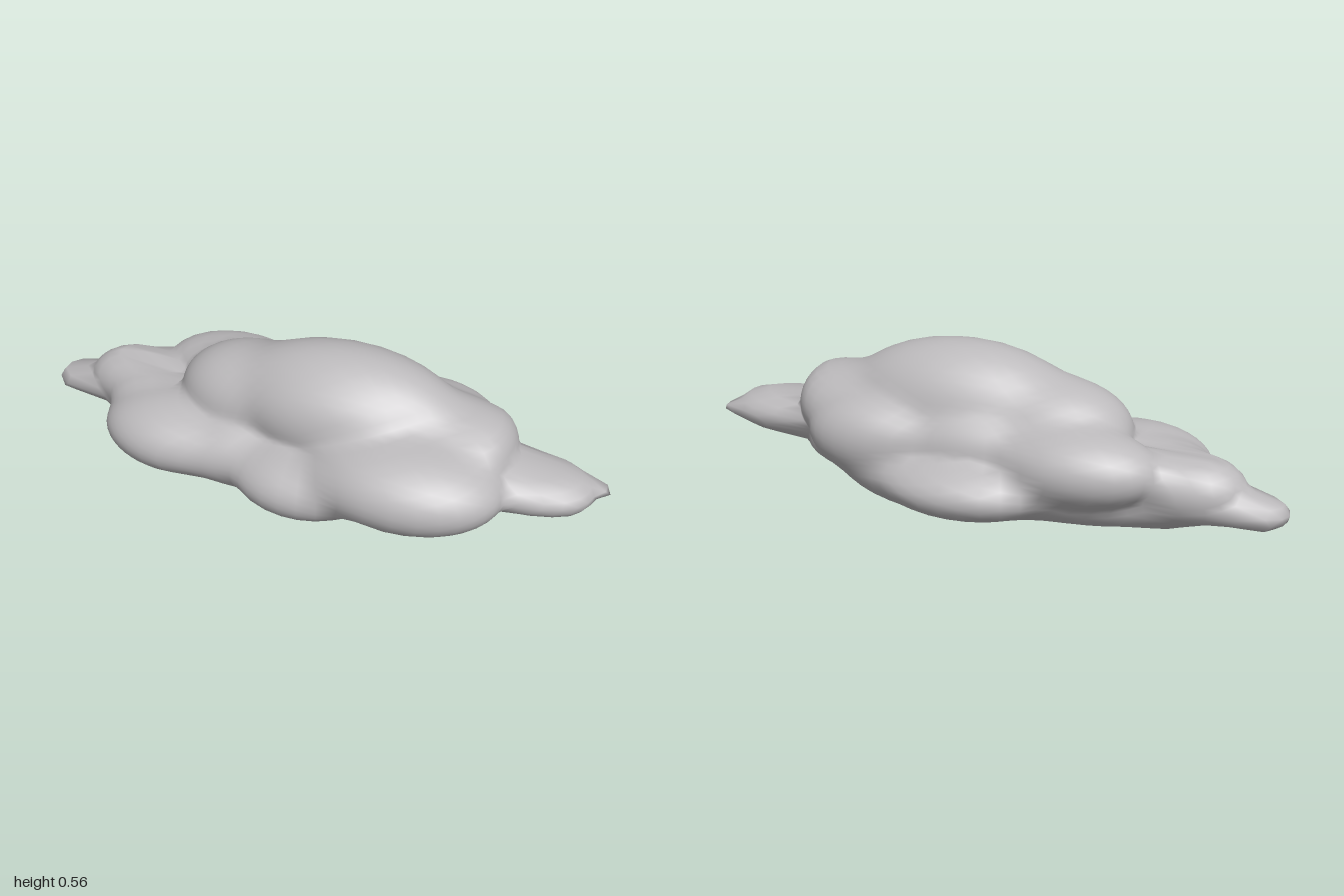
import * as THREE from 'three';
import { mergeVertices } from 'three/addons/utils/BufferGeometryUtils.js';

// Puffs of the cloud: centre x, y, z and radii x, y, z
const dome = [
  [0.11, 0.335, -0.01, 0.41, 0.228, 0.21], // top
  [0.10, 0.35, 0.10, 0.27, 0.145, 0.115], // front
  [-0.22, 0.30, -0.04, 0.26, 0.17, 0.19], // right shoulder
  [0.47, 0.28, 0.00, 0.21, 0.16, 0.19], // left shoulder
  [0.58, 0.30, 0.02, 0.11, 0.125, 0.17], // left shoulder, outer
];
const back = [
  [-0.34, 0.24, -0.20, 0.27, 0.13, 0.16], // right
  [0.03, 0.14, -0.24, 0.28, 0.10, 0.165], // low
  [0.02, 0.25, -0.15, 0.30, 0.13, 0.13], // middle
  [0.36, 0.25, -0.16, 0.24, 0.14, 0.13], // left
];
const front = [
  [0.37, 0.25, 0.185, 0.33, 0.15, 0.217], // left lobe
  [0.03, 0.17, 0.18, 0.25, 0.12, 0.185], // middle
  [-0.45, 0.17, 0.08, 0.27, 0.13, 0.19], // right lobe
  [-0.22, 0.17, 0.10, 0.24, 0.13, 0.16], // right inner lobe
];
const ends = [
  [-0.68, 0.18, -0.12, 0.19, 0.12, 0.13], // right wing
  [-0.58, 0.19, -0.02, 0.17, 0.10, 0.12], // right wing root
  [-0.88, 0.13, -0.13, 0.125, 0.06, 0.09], // right tip
  [0.74, 0.225, 0.04, 0.22, 0.08, 0.14], // left tail
  [0.85, 0.225, 0.05, 0.09, 0.065, 0.09], // left tail, outer
  [0.92, 0.22, 0.00, 0.085, 0.03, 0.04], // left point
];
const belly = [
  [-0.57, 0.10, -0.05, 0.18, 0.085, 0.15], // right end
  [-0.32, 0.12, -0.05, 0.40, 0.115, 0.22], // right
  [0.06, 0.13, -0.11, 0.44, 0.13, 0.22], // middle
  [0.43, 0.16, 0.02, 0.25, 0.09, 0.20], // left
];
const puffs = [...dome, ...back, ...front, ...ends, ...belly];

// Soft union of the puffs: above 1 inside, below 1 outside
function field(p) {
  let sum = 0;
  for (const [x, y, z, a, b, c] of puffs) {
    const q = ((p.x - x) / a) ** 2 + ((p.y - y) / b) ** 2 + ((p.z - z) / c) ** 2;
    sum += Math.exp(6 * (1 - q));
  }
  return sum / 1.25;
}

function cloudGeometry() {
  let geo = new THREE.IcosahedronGeometry(1, 13);
  geo.deleteAttribute('normal');
  geo.deleteAttribute('uv');
  geo = mergeVertices(geo, 1e-4);

  // Pull each vertex inwards along its ray until it meets the outer surface
  const centre = new THREE.Vector3(0, 0.21, 0);
  const stretch = new THREE.Vector3(1, 0.32, 0.42);
  const pos = geo.attributes.position;
  const dir = new THREE.Vector3(), p = new THREE.Vector3();
  const at = (t) => p.copy(dir).multiplyScalar(t).add(centre);
  for (let i = 0; i < pos.count; i++) {
    dir.fromBufferAttribute(pos, i).multiply(stretch);
    let outer = 1.6;
    while (outer > 0.05 && field(at(outer)) < 1) outer -= 0.02;
    let inner = outer;
    outer += 0.02;
    for (let k = 0; k < 10; k++) {
      const mid = (inner + outer) / 2;
      if (field(at(mid)) < 1) outer = mid; else inner = mid;
    }
    at(inner);
    pos.setXYZ(i, p.x, p.y, p.z);
  }
  geo.computeVertexNormals();
  return geo;
}

export function createModel() {
  const group = new THREE.Group();
  group.name = 'cloud';
  const cloudGrey = new THREE.MeshStandardMaterial({ color: 0xbcbabc });
  cloudGrey.name = 'cloud grey';
  const body = new THREE.Mesh(cloudGeometry(), cloudGrey);
  body.name = 'cloudBody';
  group.add(body);
  return group;
}
